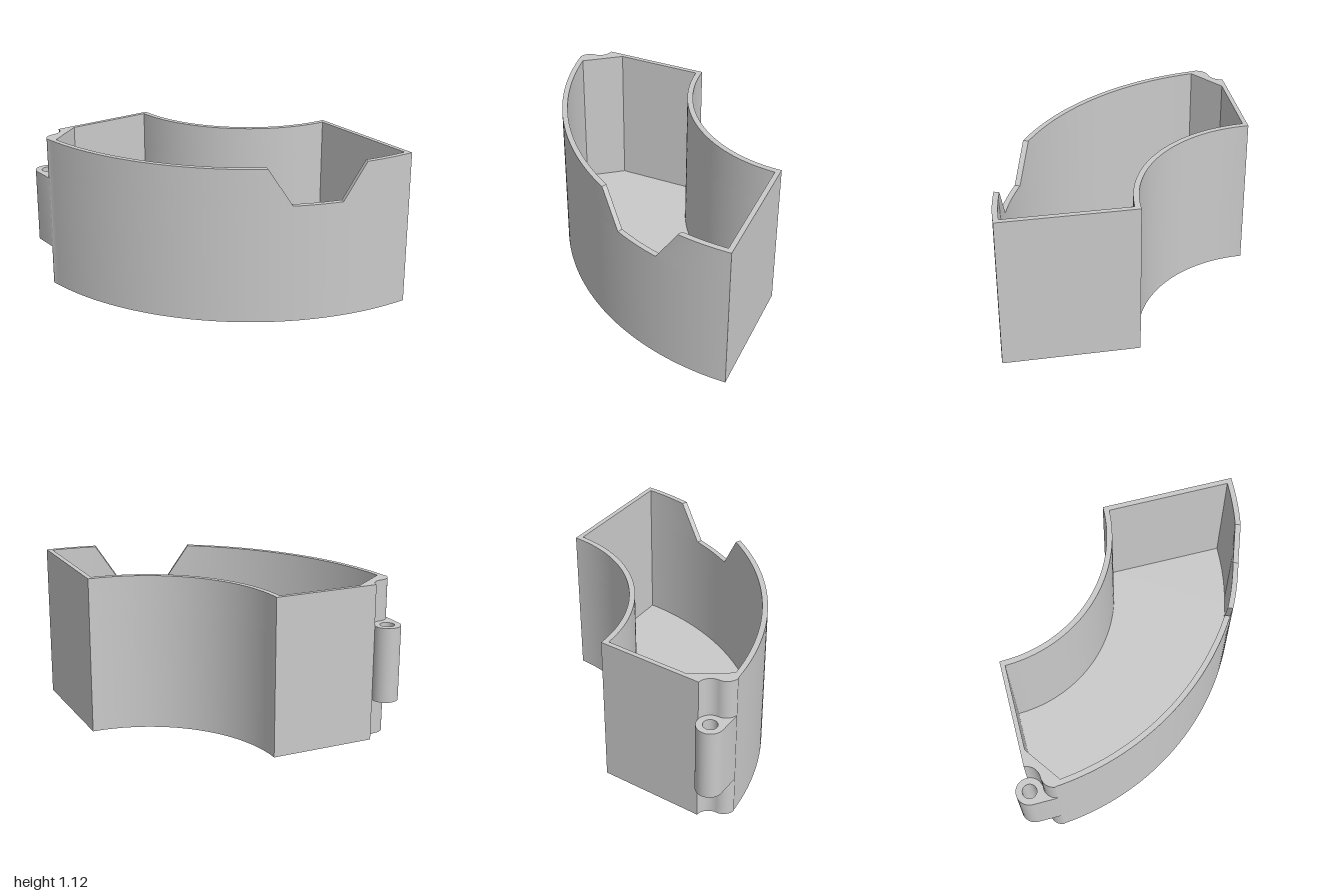
import * as THREE from 'three';
import { toCreasedNormals } from 'three/addons/utils/BufferGeometryUtils.js';

const CX = -0.9, CZ = -0.95;          // shared centre of the curved walls
const OUT = 1.9, OUT_IN = 1.862;      // outer wall radii
const INN = 0.955, INN_IN = 0.994;    // inner wall radii
const PIN = [-0.905, 0.856], PIN_R = 0.095;
const HEIGHT = 1.122, FLOOR = 0.04, SILL = 0.855;
const PHI = 0.383, HALF_LOW = 0.178, HALF_TOP = 0.349; // notch direction and half widths
const HALF_PI = Math.PI / 2;

// Plan points are [x, z]
function arc(cx, cz, r, a, b, n) {
  return Array.from({ length: n + 1 }, (_, i) => {
    const t = a + (b - a) * i / n;
    return [cx + r * Math.cos(t), cz + r * Math.sin(t)];
  });
}
const ring = (r, a, b, n = 56) => arc(CX, CZ, r, a, b, n);
const flip = pts => pts.map(([x, z]) => new THREE.Vector2(x, -z));

// Outlines and holes are listed the same way round, so holes are reversed here
function extrude(points, hole, y0, y1, edit) {
  const shape = new THREE.Shape(flip(points));
  if (hole) shape.holes.push(new THREE.Path(flip(hole).reverse()));
  const geo = new THREE.ExtrudeGeometry(shape, { depth: y1 - y0, bevelEnabled: false });
  geo.rotateX(-HALF_PI);
  if (edit) edit(geo.attributes.position, y1 - y0);
  geo.translate(0, y0, 0);
  return toCreasedNormals(geo, 0.45);
}

// Lean the notch ends outward by sliding top vertices round the wall
function leanNotch(pos, top) {
  const limit = 0.6;
  for (let i = 0; i < pos.count; i++) {
    if (pos.getY(i) < top - 1e-4) continue;
    const dx = pos.getX(i) - CX, dz = pos.getZ(i) - CZ, r = Math.hypot(dx, dz);
    const t = r * Math.sin(Math.atan2(dz, dx) - PHI), s = Math.abs(t);
    if (r < 1.8 || s > limit) continue;
    const moved = HALF_TOP + (s - HALF_LOW) * (limit - HALF_TOP) / (limit - HALF_LOW);
    const a = PHI + Math.asin(Math.sign(t) * moved / r);
    pos.setX(i, CX + r * Math.cos(a));
    pos.setZ(i, CZ + r * Math.sin(a));
  }
}

// One face of the outer wall, split where the notch cuts it
function outerFace(r, start, end) {
  const gap = Math.asin(HALF_LOW / r);
  const before = ring(r, start, PHI - gap, 16);
  const after = ring(r, PHI + gap, end, 48);
  const sill = ring(r, PHI - gap, PHI + gap, 10).slice(1, -1);
  return { before, after, full: [...before, ...sill, ...after] };
}

export function createModel() {
  const group = new THREE.Group();
  const grey = new THREE.MeshStandardMaterial({ color: 0xcacaca });
  grey.name = 'plain grey';
  const add = (name, geo) => {
    const mesh = new THREE.Mesh(geo, grey);
    mesh.name = name;
    group.add(mesh);
  };

  // Outline behind the outer arc: rounded corner, pin groove, left side, inner arc
  const outer = outerFace(OUT, 0, Math.acos(0.18 / OUT));
  const outBack = [
    ...arc(-0.72, 0.856, 0.09, HALF_PI + 0.1, Math.PI - 0.05, 10),
    ...arc(PIN[0], PIN[1], PIN_R, 0, -HALF_PI + 0.053, 12),
    ...ring(INN, HALF_PI, 0),
  ];
  // Cavity outline behind its outer arc: chamfer, left side, inner arc
  const inner = outerFace(OUT_IN, Math.asin(0.035 / OUT_IN), Math.acos(0.212 / OUT_IN));
  const cavBack = [
    [-0.868, 0.65],
    ...ring(INN_IN, Math.acos(0.032 / INN_IN), Math.asin(0.035 / INN_IN)),
  ];
  const outline = [...outer.full, ...outBack];
  const cavity = [...inner.full, ...cavBack];

  add('floor', extrude(outline, null, 0, FLOOR));
  add('lowerWall', extrude(outline, cavity, FLOOR, SILL));

  // Upper wall is one strip running from one side of the notch to the other
  const strip = [
    ...outer.after, ...outBack, ...outer.before,
    ...[...inner.after, ...cavBack, ...inner.before].reverse(),
  ];
  add('notchedUpperWall', extrude(strip, null, SILL, HEIGHT, leanNotch));

  // Hinge knuckle with a pin hole, filling the groove at mid height
  const knuckle = [
    ...arc(PIN[0], PIN[1], PIN_R, HALF_PI, Math.PI * 2, 36),
    [-0.74, 0.856], [-0.72, 0.9415], [-0.75, 0.949],
  ];
  const pinHole = arc(PIN[0], PIN[1], 0.05, 0, Math.PI * 2, 32).slice(0, -1);
  add('hingeKnuckle', extrude(knuckle, pinHole, 0.295, 0.83));

  return group;
}
